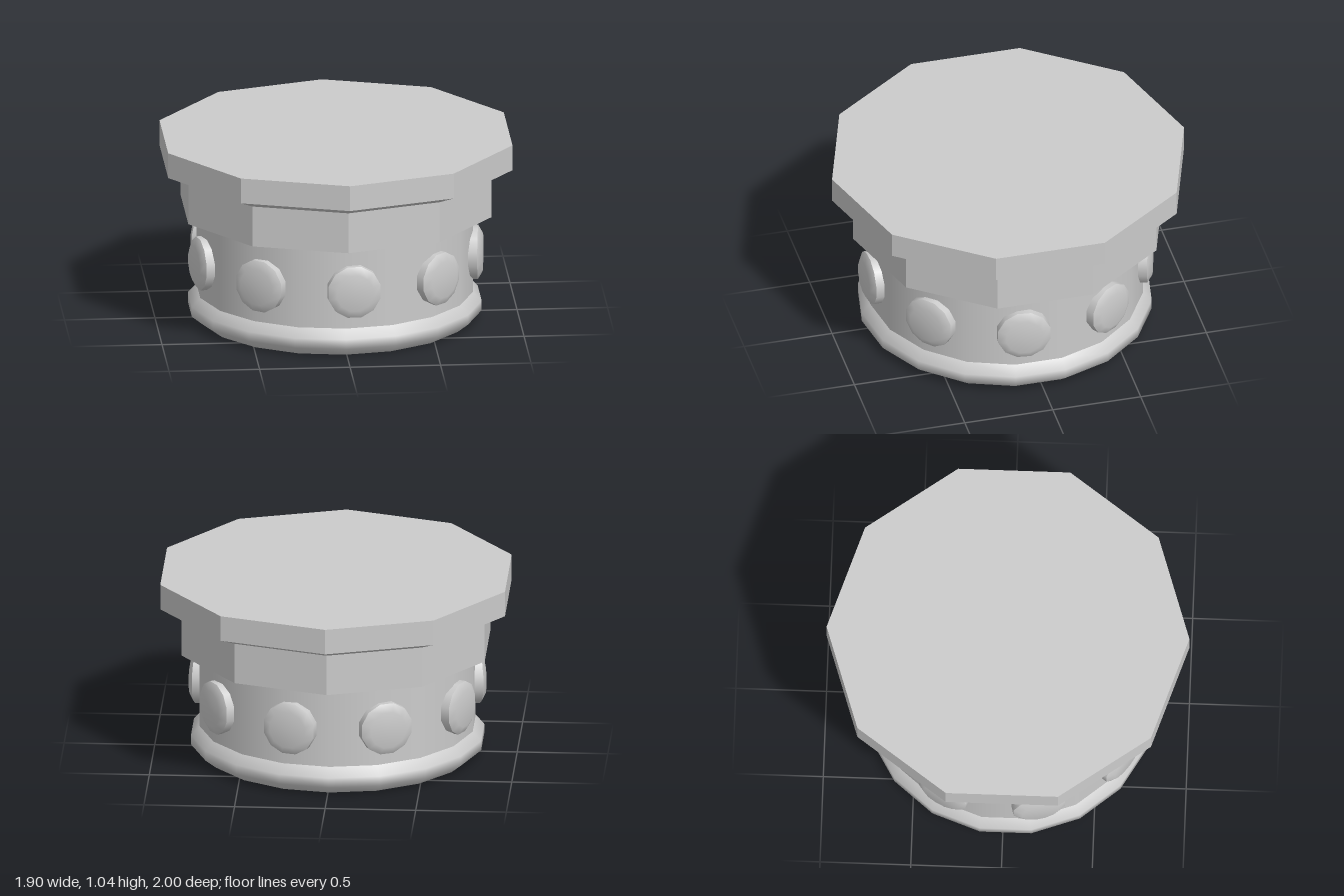
import * as THREE from 'three';

export function createModel() {
  const model = new THREE.Group();
  const smooth = new THREE.MeshStandardMaterial({ color: 0xcccccc });
  const flat = new THREE.MeshStandardMaterial({ color: 0xcccccc, flatShading: true });

  const add = (parent, name, geometry, material) => {
    const mesh = new THREE.Mesh(geometry, material);
    mesh.name = name;
    parent.add(mesh);
    return mesh;
  };
  const lathe = (points, sides) =>
    new THREE.LatheGeometry(points.map(([r, y]) => new THREE.Vector2(r, y)), sides);

  // Ten-sided head: collar, underside chamfer and wide slab
  add(model, 'head', lathe([
    [0, 0.62], [0.88, 0.62], [0.88, 0.85], [1, 0.9], [1, 1.043], [0, 1.043],
  ], 10), flat);

  // Round lower section, set slightly off the axis of the head
  const lower = new THREE.Group();
  lower.name = 'lowerSection';
  lower.position.set(-0.008, 0, 0.016);
  model.add(lower);

  const drum = add(lower, 'drum', new THREE.CylinderGeometry(0.765, 0.765, 0.49, 18, 1, true), smooth);
  drum.position.y = 0.385;

  // Rounded foot ring with a flat bottom
  add(lower, 'footRing', lathe([[0.75, 0], [0.813, 0.05], [0.813, 0.105], [0.765, 0.155]], 18), smooth);
  add(lower, 'footBottom', lathe([[0, 0], [0.75, 0]], 18), smooth);

  // Nine bevelled studs around the drum
  const rim = lathe([[0.15, 0.735], [0.15, 0.79]], 12);
  const face = lathe([[0.15, 0.79], [0.105, 0.816], [0, 0.816]], 12);
  for (const g of [rim, face]) g.rotateY(Math.PI / 12).rotateX(Math.PI / 2);
  for (let i = 0; i < 9; i++) {
    const stud = new THREE.Group();
    stud.name = 'stud' + (i + 1);
    stud.position.y = 0.37;
    stud.rotation.y = THREE.MathUtils.degToRad(3.5 + i * 40);
    add(stud, 'studRim', rim, smooth);
    add(stud, 'studFace', face, smooth);
    lower.add(stud);
  }
  return model;
}
